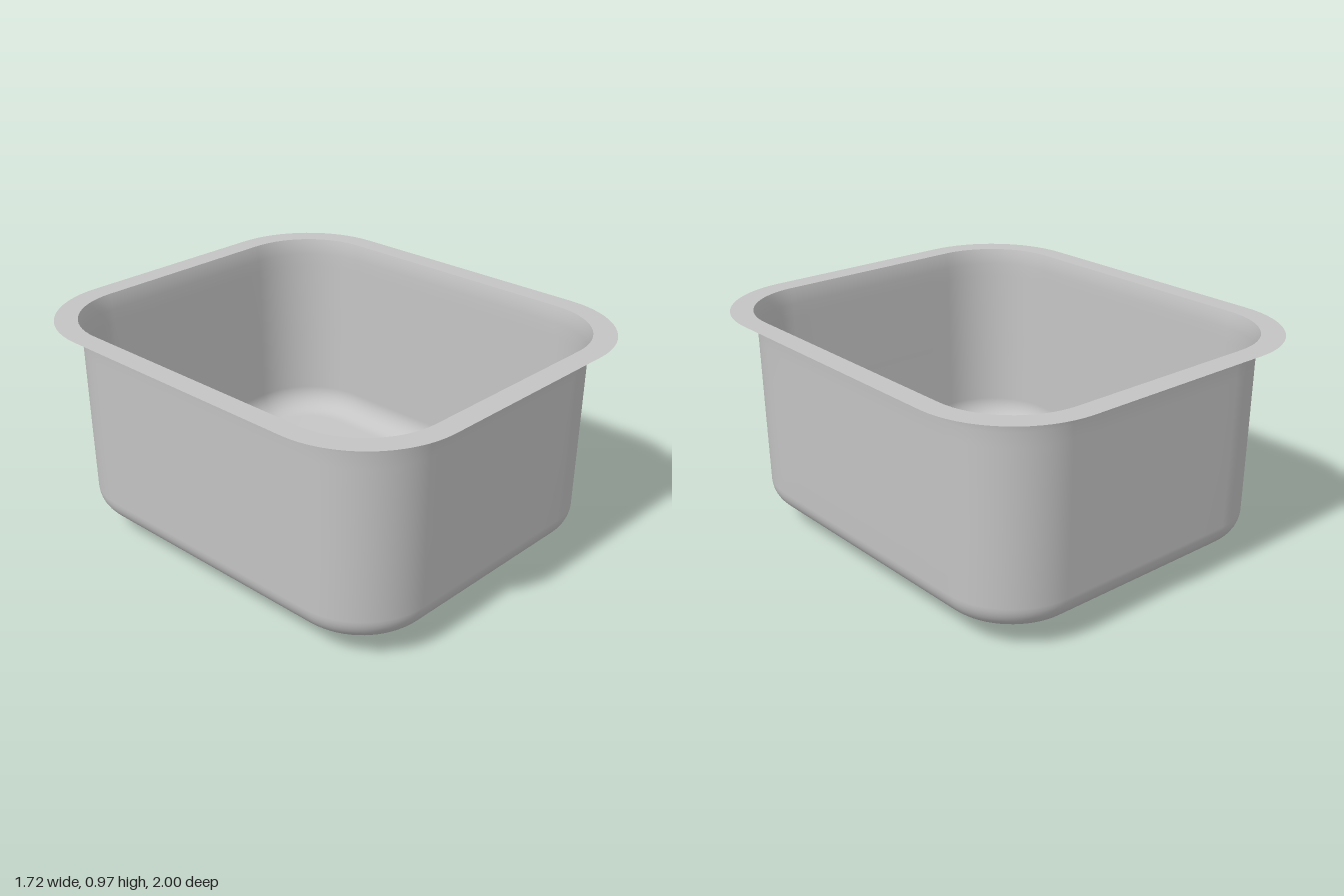
import * as THREE from 'three';

const RIM_Y = 0.97, DRAIN_Z = -0.37, CORNER_STEPS = 16, EDGE_STEPS = 8;

// Closed rounded-rectangle loop with evenly split straight sides
function roundedLoop(hx, hz, r, y) {
  const corners = [[1, 1], [-1, 1], [-1, -1], [1, -1]];
  const arcs = corners.map(([sx, sz], c) => {
    const pts = [];
    for (let i = 0; i <= CORNER_STEPS; i++) {
      const a = (c + i / CORNER_STEPS) * Math.PI / 2;
      pts.push(new THREE.Vector3(sx * (hx - r) + r * Math.cos(a), y, sz * (hz - r) + r * Math.sin(a)));
    }
    return pts;
  });
  const loop = [];
  arcs.forEach((arc, c) => {
    loop.push(...arc);
    const from = arc[CORNER_STEPS], to = arcs[(c + 1) % 4][0];
    for (let i = 1; i < EDGE_STEPS; i++) loop.push(from.clone().lerp(to, i / EDGE_STEPS));
  });
  return loop;
}

// Skin between successive closed loops
function loft(loops) {
  const n = loops[0].length, index = [];
  for (let j = 0; j < loops.length - 1; j++) {
    for (let i = 0; i < n; i++) {
      const a = j * n + i, b = j * n + (i + 1) % n;
      index.push(a, b, a + n, b, b + n, a + n);
    }
  }
  const geo = new THREE.BufferGeometry().setFromPoints(loops.flat());
  geo.setIndex(index);
  geo.computeVertexNormals();
  return geo;
}

export function createModel() {
  const group = new THREE.Group();
  const steel = new THREE.MeshStandardMaterial({ color: 0xc4c4c4, side: THREE.DoubleSide });
  steel.name = 'brushed steel';
  const add = (name, geo, x = 0, y = 0, z = 0) => {
    const mesh = new THREE.Mesh(geo, steel);
    mesh.name = name;
    mesh.position.set(x, y, z);
    group.add(mesh);
    return mesh;
  };
  // Loop of the bowl, inset from the opening
  const bowlLoop = (inset, y) => roundedLoop(0.77 - inset, 0.905 - inset, 0.335 - inset, y);

  // Flat mounting flange
  add('rim', loft([bowlLoop(0, RIM_Y), roundedLoop(0.862, 1, 0.42, RIM_Y)]));

  // Tapered walls with a soft top edge and a filleted foot
  const profile = [[0, RIM_Y], [0.004, 0.955], [0.009, 0.93], [0.012, 0.9], [0.014, 0.84], [0.019, 0.5], [0.024, 0.2]];
  for (let i = 1; i <= 10; i++) {
    const a = i / 10 * Math.PI / 2;
    profile.push([0.024 + 0.11 * (1 - Math.cos(a)), 0.2 - 0.11 * Math.sin(a)]);
  }
  add('bowlWalls', loft(profile.map(([inset, y]) => bowlLoop(inset, y)).reverse()));

  // Floor falling gently towards the round drain opening
  const drain = new THREE.Vector3(0, 0.066, DRAIN_Z);
  const floorEdge = bowlLoop(0.134, 0.09);
  const drainEdge = floorEdge.map(p => {
    const a = Math.atan2(p.z - DRAIN_Z, p.x);
    return new THREE.Vector3(0.26 * Math.cos(a), drain.y, DRAIN_Z + 0.26 * Math.sin(a));
  });
  const floorLoops = [];
  for (let j = 0; j <= 6; j++) floorLoops.push(drainEdge.map((p, i) => p.clone().lerp(floorEdge[i], j / 6)));
  add('bowlFloor', loft(floorLoops));

  // Drain cup: rounded throat, short pipe and closed base
  const throat = [new THREE.Vector2(0.165, 0)];
  for (let i = 0; i <= 10; i++) {
    const a = i / 10 * Math.PI / 2;
    throat.push(new THREE.Vector2(0.26 - 0.095 * Math.cos(a), 0.025 + 0.041 * Math.sin(a)));
  }
  add('drainThroat', new THREE.LatheGeometry(throat, 64), 0, 0, DRAIN_Z);
  add('drainBase', new THREE.CircleGeometry(0.165, 64), 0, 0, DRAIN_Z).rotation.x = -Math.PI / 2;

  // Perforated strainer with a central knob
  const plate = new THREE.Shape().absarc(0, 0, 0.162, 0, Math.PI * 2);
  for (const [count, radius] of [[18, 0.117], [8, 0.077]]) {
    for (let i = 0; i < count; i++) {
      const a = i / count * Math.PI * 2;
      const hole = new THREE.Path().absarc(radius * Math.cos(a), radius * Math.sin(a), 0.011, 0, Math.PI * 2, true);
      plate.holes.push(hole);
    }
  }
  const strainer = new THREE.ExtrudeGeometry(plate, { depth: 0.008, bevelEnabled: false, curveSegments: 24 });
  add('strainer', strainer, 0, 0.006, DRAIN_Z).rotation.x = -Math.PI / 2;
  add('strainerKnob', new THREE.CylinderGeometry(0.03, 0.03, 0.012, 32), 0, 0.018, DRAIN_Z);

  return group;
}
